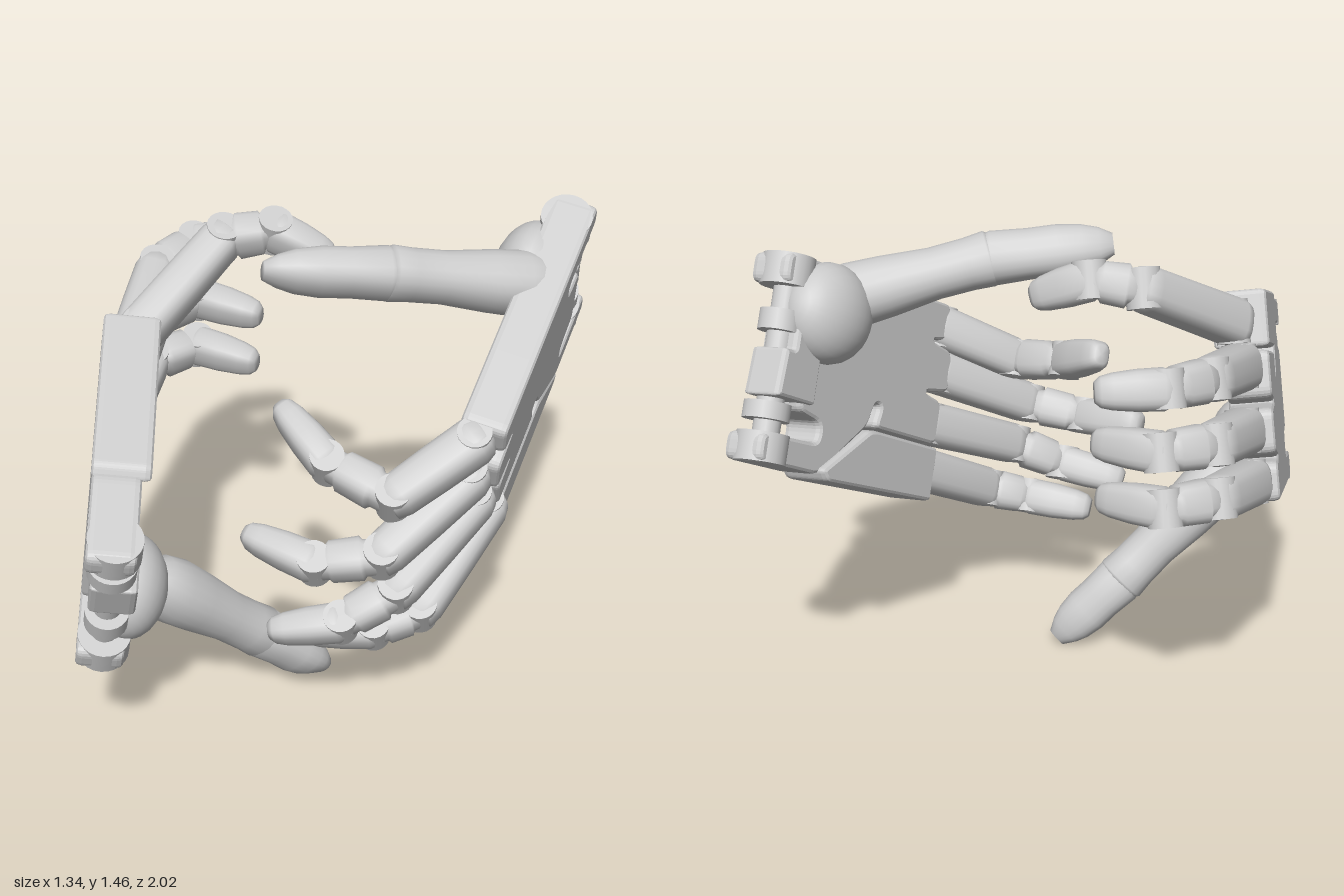
import * as THREE from 'three';

const V = (p) => new THREE.Vector3(...p);
const mat = new THREE.MeshStandardMaterial({ color: 0xcccccc });

function add(parent, name, geometry) {
  const mesh = new THREE.Mesh(geometry, mat);
  mesh.name = name;
  parent.add(mesh);
  return mesh;
}

// Polygon with every corner rounded
function roundedShape(points, r) {
  const shape = new THREE.Shape();
  const pts = points.map((p) => new THREE.Vector2(...p));
  pts.forEach((p, i) => {
    const a = pts[(i + pts.length - 1) % pts.length], b = pts[(i + 1) % pts.length];
    const toward = (q) => p.clone().lerp(q, Math.min(r / p.distanceTo(q), 0.48));
    const from = toward(a), to = toward(b);
    if (i) shape.lineTo(from.x, from.y);
    else shape.moveTo(from.x, from.y);
    shape.quadraticCurveTo(p.x, p.y, to.x, to.y);
  });
  shape.closePath();
  return shape;
}

// Bevelled plate lying between z0 and z1
function plate(parent, name, points, z0, z1, r, bevel = 0.018) {
  const g = new THREE.ExtrudeGeometry(roundedShape(points, r), {
    depth: z1 - z0 - 2 * bevel, bevelEnabled: true, bevelThickness: bevel,
    bevelSize: bevel * 0.6, bevelOffset: -bevel * 0.6, bevelSegments: 2, curveSegments: 5,
  });
  g.translate(0, 0, z0 + bevel);
  return add(parent, name, g);
}

// Skin of boxy oval sections: each station is [distance along y, half width, half depth]
function loft(stations, power = 0.7, sides = 20) {
  const pos = [], idx = [];
  const bend = (c) => Math.sign(c) * Math.abs(c) ** power;
  for (const [y, w, d] of stations)
    for (let i = 0; i < sides; i++) {
      const a = (i / sides) * Math.PI * 2;
      pos.push(bend(Math.cos(a)) * w, y, bend(Math.sin(a)) * d);
    }
  for (let j = 0; j < stations.length - 1; j++)
    for (let i = 0; i < sides; i++) {
      const a = j * sides + i, b = j * sides + (i + 1) % sides;
      idx.push(a, a + sides, b, b, a + sides, b + sides);
    }
  const g = new THREE.BufferGeometry();
  g.setAttribute('position', new THREE.Float32BufferAttribute(pos, 3));
  g.setIndex(idx);
  g.computeVertexNormals();
  return g;
}

// Point y along p to q, keeping x on the hinge axis
function orient(mesh, p, q, hinge) {
  const y = q.clone().sub(p).normalize();
  const x = hinge.clone().addScaledVector(y, -hinge.dot(y)).normalize();
  mesh.quaternion.setFromRotationMatrix(new THREE.Matrix4().makeBasis(x, y, x.clone().cross(y)));
  mesh.position.copy(p);
  return mesh;
}

// Hinge pin across a finger
function pin(parent, name, at, hinge, r, length) {
  const mesh = add(parent, name, new THREE.CylinderGeometry(r, r, length, 20));
  mesh.quaternion.setFromUnitVectors(new THREE.Vector3(0, 1, 0), hinge);
  mesh.position.copy(at);
}

function buildFinger(parent, name, joints, hinge) {
  const finger = new THREE.Group();
  finger.name = name;
  parent.add(finger);
  const [k, p, d, t] = joints.map(V);
  // Proximal link with rounded ends
  const n = k.distanceTo(p);
  orient(add(finger, 'proximalLink', loft([
    [-0.05, 0, 0], [-0.05, 0.039, 0.035], [-0.03, 0.065, 0.058], [0, 0.071, 0.067],
    [n * 0.5, 0.068, 0.066], [n - 0.02, 0.066, 0.063],
    [n + 0.02, 0.06, 0.053], [n + 0.03, 0.04, 0.033], [n + 0.03, 0, 0],
  ])), k, p, hinge);
  // Middle link with a narrower neck at each end
  const m = p.distanceTo(d);
  orient(add(finger, 'middleLink', loft([
    [0, 0, 0], [0, 0.05, 0.048], [m * 0.25, 0.052, 0.05], [m * 0.3, 0.064, 0.06],
    [m * 0.75, 0.06, 0.057], [m * 0.8, 0.05, 0.047], [m, 0.05, 0.047], [m, 0, 0],
  ])), p, d, hinge);
  // Fingertip tapering to a blunt end
  const L = d.distanceTo(t);
  orient(add(finger, 'fingertip', loft([
    [-0.03, 0, 0], [-0.03, 0.042, 0.04], [0.01, 0.06, 0.056], [L * 0.45, 0.058, 0.053],
    [L * 0.8, 0.051, 0.045], [L * 0.97, 0.043, 0.036], [L + 0.01, 0.03, 0.023], [L + 0.01, 0, 0],
  ])), d, t, hinge);
  pin(finger, 'knucklePin', k, hinge, 0.05, 0.13);
  pin(finger, 'middlePin', p, hinge, 0.052, 0.116);
  pin(finger, 'endPin', d, hinge, 0.05, 0.108);
}

function buildThumb(parent, joints, hinge) {
  const thumb = new THREE.Group();
  thumb.name = 'thumb';
  parent.add(thumb);
  const [a, b, c] = joints.map(V);
  const L = a.distanceTo(b), T = b.distanceTo(c);
  orient(add(thumb, 'thumbBase', loft([
    [-0.14, 0, 0], [-0.14, 0.05, 0.04], [-0.08, 0.09, 0.08], [0, 0.097, 0.095], [L * 0.25, 0.091, 0.089],
    [L * 0.6, 0.077, 0.075], [L * 0.85, 0.078, 0.075], [L, 0.083, 0.078], [L + 0.02, 0.07, 0.065], [L + 0.02, 0, 0],
  ], 0.9)), a, b, hinge);
  orient(add(thumb, 'thumbTip', loft([
    [-0.04, 0, 0], [-0.04, 0.06, 0.06], [0.01, 0.08, 0.075], [T * 0.35, 0.075, 0.068], [T * 0.6, 0.076, 0.068],
    [T * 0.82, 0.068, 0.058], [T * 0.97, 0.054, 0.042], [T + 0.03, 0.032, 0.024], [T + 0.03, 0, 0],
  ], 0.85)), b, c, hinge);
}

// side = 1 or -1 mirrors the palm; local x points to the thumb, y to the fingers, z out of the back
function buildHand(name, { centre, toFingers, toThumb, side, fingers, thumb }) {
  const hand = new THREE.Group();
  hand.name = name;
  const u = V(toFingers).normalize();
  const w = V(toThumb);
  w.addScaledVector(u, -w.dot(u)).normalize();
  const x = w.clone().multiplyScalar(side);

  const palm = new THREE.Group();
  palm.name = 'palm';
  palm.quaternion.setFromRotationMatrix(new THREE.Matrix4().makeBasis(x, u, x.clone().cross(u)));
  palm.position.copy(V(centre));
  hand.add(palm);
  const flip = (pts) => pts.map(([px, py]) => [px * side, py]);

  // Palm body with finger tongues and two notches at the wrist
  plate(palm, 'palmBody', flip([
    [0.215, -0.2], [0.21, -0.44], [0.3, -0.44], [0.32, 0.1], [0.33, 0.38], [0.215, 0.39], [0.2, 0.3],
    [0.185, 0.42], [0.055, 0.43], [0.035, 0.3], [0.02, 0.4], [-0.12, 0.4], [-0.12, 0.07], [-0.05, 0.09],
    [-0.045, 0.055], [-0.12, 0.035], [-0.3, -0.17], [-0.3, -0.44], [-0.215, -0.44], [-0.21, -0.19],
    [-0.15, -0.19], [-0.13, -0.3], [0.13, -0.31], [0.15, -0.2],
  ]), -0.06, 0.075, 0.03);
  // Separate metacarpal for the little finger
  plate(palm, 'littleMetacarpal', flip([
    [-0.13, 0.05], [-0.13, 0.38], [-0.3, 0.38], [-0.315, -0.15], [-0.285, -0.18], [-0.135, 0.02],
  ]), -0.085, 0.078, 0.015);
  // Rounded lugs along the wrist
  for (const [lx, r, len] of [[0.255, 0.076, 0.09], [0.11, 0.062, 0.06], [-0.15, 0.068, 0.05], [-0.255, 0.076, 0.085]]) {
    const lug = add(palm, 'wristLug', new THREE.CylinderGeometry(r, r, len, 24));
    lug.rotation.z = Math.PI / 2;
    lug.position.set(lx * side, -0.37, 0);
  }
  const axle = add(palm, 'wristAxle', new THREE.CylinderGeometry(0.04, 0.04, 0.46, 20));
  axle.rotation.z = Math.PI / 2;
  axle.position.set(0, -0.36, 0);
  // Stepped block filling the middle of the wrist
  plate(palm, 'wristBlock', flip([[-0.11, -0.25], [-0.11, -0.42], [0.03, -0.41], [0.03, -0.37], [0.11, -0.37], [0.11, -0.25]]),
    -0.075, 0.055, 0.01);
  // Thumb mound on the palm side
  const mound = add(palm, 'thumbMound', new THREE.SphereGeometry(0.135, 24, 16));
  mound.scale.set(1.1, 1.15, 0.82);
  mound.position.set(0.165 * side, -0.235, -0.06);

  const names = ['indexFinger', 'middleFinger', 'ringFinger', 'littleFinger'];
  fingers.forEach((joints, i) => buildFinger(hand, names[i], joints, w));
  buildThumb(hand, thumb, w);
  return hand;
}

export function createModel() {
  const model = new THREE.Group();
  model.name = 'pairOfMechanicalHands';
  model.add(buildHand('frontHand', {
    centre: [-0.07, 0.855, 0.645], toFingers: [-0.52, 0.29, -0.46], toThumb: [-0.18, -0.47, -0.06], side: -1,
    fingers: [
      [[-0.45, 0.77, 0.35], [-0.59, 0.835, 0.13], [-0.57, 0.84, -0.04], [-0.39, 0.82, -0.13]],
      [[-0.42, 0.925, 0.34], [-0.58, 1.0, 0.12], [-0.56, 1.01, -0.05], [-0.38, 0.99, -0.14]],
      [[-0.34, 1.09, 0.38], [-0.54, 1.18, 0.13], [-0.57, 1.2, -0.04], [-0.49, 1.2, -0.21]],
      [[-0.24, 1.19, 0.42], [-0.27, 1.37, 0.08], [-0.18, 1.39, -0.04], [-0.05, 1.32, -0.14]],
    ],
    thumb: [[0.03, 0.48, 0.54], [0.09, 0.22, 0.26], [0.155, 0.045, 0.08]],
  }));
  model.add(buildHand('backHand', {
    centre: [0.38, 0.98, -0.53], toFingers: [0.235, -0.35, 0.55], toThumb: [0.175, 0.42, 0.18], side: 1,
    fingers: [
      [[0.6, 1.0, -0.11], [0.52, 0.87, 0.12], [0.32, 0.92, 0.19], [0.12, 1.01, 0.19]],
      [[0.57, 0.86, -0.13], [0.53, 0.7, 0.17], [0.4, 0.67, 0.31], [0.2, 0.7, 0.39]],
      [[0.52, 0.72, -0.21], [0.54, 0.56, 0.12], [0.47, 0.48, 0.27], [0.33, 0.44, 0.41]],
      [[0.47, 0.62, -0.32], [0.53, 0.43, 0.01], [0.47, 0.39, 0.14], [0.33, 0.37, 0.28]],
    ],
    thumb: [[0.365, 1.265, -0.52], [0.2, 1.36, -0.15], [0.03, 1.4, 0.14]],
  }));
  return model;
}
